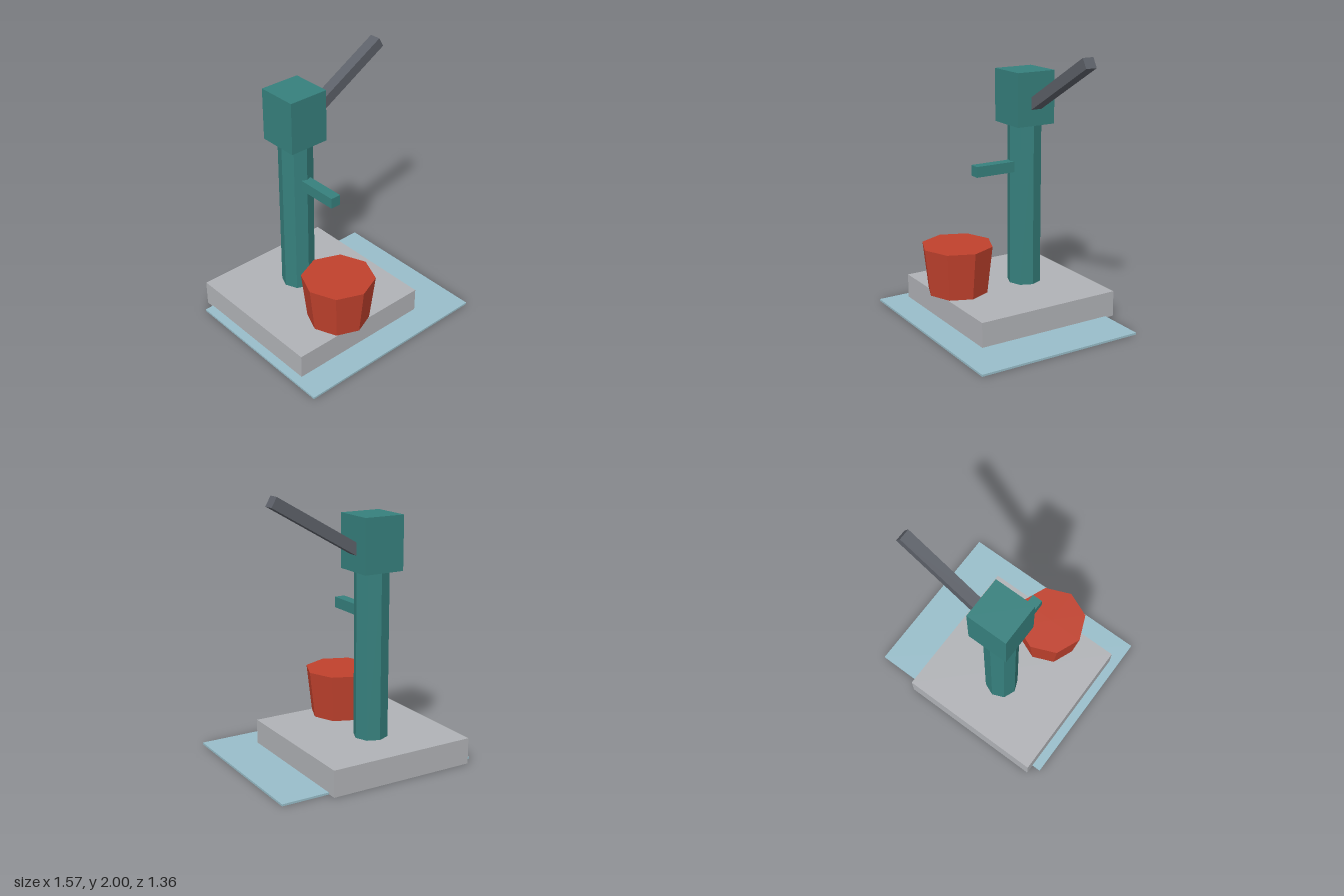
import * as THREE from 'three';

const material = (name, color) => {
  const m = new THREE.MeshStandardMaterial({ color, flatShading: true });
  m.name = name;
  return m;
};

export function createModel() {
  const group = new THREE.Group();
  const teal = material('teal paint', 0x36807d);
  const grey = material('stone grey', 0xb0b2b6);
  const blue = material('pale water blue', 0x98bdc9);
  const red = material('bucket red', 0xc0412d);
  const iron = material('dark iron', 0x5c6068);

  const add = (name, geometry, mat, x, y, z) => {
    const mesh = new THREE.Mesh(geometry, mat);
    mesh.name = name;
    mesh.position.set(x, y, z);
    group.add(mesh);
    return mesh;
  };
  const box = (name, mat, [x0, x1], [y0, y1], [z0, z1]) =>
    add(name, new THREE.BoxGeometry(x1 - x0, y1 - y0, z1 - z0), mat,
      (x0 + x1) / 2, (y0 + y1) / 2, (z0 + z1) / 2);
  const octagon = (name, mat, rTop, rBottom, [y0, y1], x, z) =>
    add(name, new THREE.CylinderGeometry(rTop, rBottom, y1 - y0, 8), mat, x, (y0 + y1) / 2, z);

  // Ground: thin puddle sheet with the stone slab standing in it
  box('puddle', blue, [-0.785, 0.785], [0, 0.015], [-0.61, 0.675]);
  box('slab', grey, [-0.715, 0.425], [0.003, 0.2], [-0.68, 0.46]);

  // Pump body
  const px = -0.145, pz = -0.25;
  octagon('pumpColumn', teal, 0.127, 0.127, [0.2, 1.435], px, pz);
  box('pumpHead', teal, [px - 0.157, px + 0.157], [1.435, 1.83], [pz - 0.157, pz + 0.157]);
  box('spout', teal, [px - 0.04, px + 0.04], [1.077, 1.157], [-0.2, 0.183]);

  // Handle: a bar rising at 30 degrees out of the head
  const angle = Math.PI / 6, length = 0.85;
  const handle = add('handle', new THREE.BoxGeometry(length, 0.08, 0.087), iron,
    0.642 - Math.cos(angle) * length / 2, 1.965 - Math.sin(angle) * length / 2, pz);
  handle.rotation.z = angle;

  // Tapered bucket under the spout
  octagon('bucket', red, 0.27, 0.228, [0.2, 0.56], -0.217, 0.292);

  return group;
}
